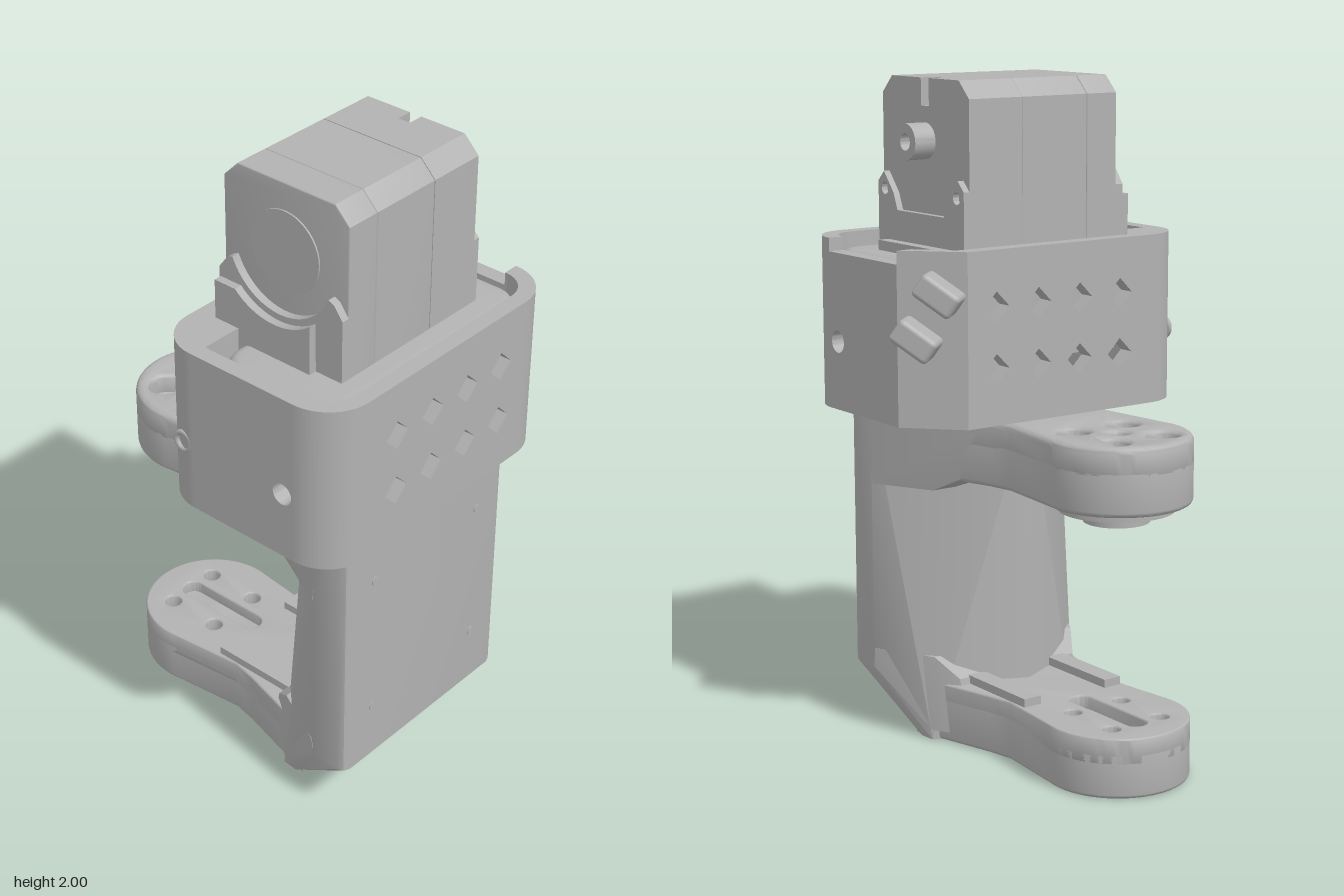
import * as THREE from 'three';
import { toCreasedNormals } from 'three/addons/utils/BufferGeometryUtils.js';
import { RoundedBoxGeometry } from 'three/addons/geometries/RoundedBoxGeometry.js';
import { ConvexGeometry } from 'three/addons/geometries/ConvexGeometry.js';

const grey = new THREE.MeshStandardMaterial({ color: 0xb2b2b2 });
grey.name = 'printed grey';

function add(group, name, geometry, x = 0, y = 0, z = 0) {
  const mesh = new THREE.Mesh(geometry, grey);
  mesh.name = name;
  mesh.position.set(x, y, z);
  group.add(mesh);
  return mesh;
}

const poly = (pts) => new THREE.Shape(pts.map(([a, b]) => new THREE.Vector2(a, b)));
const rect = (a0, b0, a1, b1) => poly([[a0, b0], [a1, b0], [a1, b1], [a0, b1]]);

function circle(a, b, r) {
  const p = new THREE.Path();
  p.absarc(a, b, r, 0, Math.PI * 2, false);
  return p;
}

function diamond(a, b, r) {
  return new THREE.Path([[a - r, b], [a, b - r], [a + r, b], [a, b + r]].map((p) => new THREE.Vector2(...p)));
}

function teardrop(a, b, r) {
  const p = new THREE.Path();
  p.absarc(a, b, r, Math.PI / 4, Math.PI * 1.75, false);
  p.lineTo(a + r * Math.SQRT2, b);
  p.closePath();
  return p;
}

// Extrusion between two depths; the bevel stays inside the outline
function extrude(shape, d0, d1, bevel = 0) {
  const geo = new THREE.ExtrudeGeometry(shape, {
    depth: d1 - d0 - 2 * bevel, curveSegments: 20, bevelEnabled: bevel > 0,
    bevelSize: bevel, bevelThickness: bevel, bevelOffset: -bevel, bevelSegments: 4,
  });
  return geo.translate(0, 0, d0 + bevel);
}
const crease = (geo) => toCreasedNormals(geo, 0.6);
// Shape drawn as (x, -z), raised along y
const upright = (shape, y0, y1, bevel) => crease(extrude(shape, y0, y1, bevel).rotateX(-Math.PI / 2));
// Shape drawn as (-z, y), run along x
const sideways = (shape, x0, x1, bevel) => crease(extrude(shape, x0, x1, bevel).rotateY(Math.PI / 2));

// Convex solid from mirrored levels: [y, [[halfWidth, z], ...]]
function mirroredHull(levels) {
  const pts = [];
  for (const [y, list] of levels) {
    for (const [w, z] of list) pts.push(new THREE.Vector3(w, y, z), new THREE.Vector3(-w, y, z));
  }
  return crease(new ConvexGeometry(pts));
}

function armPlan(rootHalf, rootZ) {
  const s = new THREE.Shape();
  s.moveTo(-rootHalf, -rootZ);
  s.lineTo(rootHalf, -rootZ);
  s.lineTo(0.2, 0);
  s.lineTo(0.185, 0.08);
  s.absarc(0, 0.355, 0.215, -0.2, Math.PI + 0.2, false);
  s.lineTo(-0.185, 0.08);
  s.lineTo(-0.2, 0);
  s.closePath();
  return s;
}
const boltSpots = [[-0.09, 0.265], [0.09, 0.265], [-0.09, 0.445], [0.09, 0.445]];

function createBracket() {
  const g = new THREE.Group();
  g.name = 'bracket';
  g.position.x = -0.025;

  // Column with a rounded front, a ridge at the back and a sloped foot
  const full = [[0.325, 0.51], [0.345, 0.501], [0.355, 0.48], [0.355, 0.39], [0.004, 0.07]];
  const foot = [[0.245, 0.28], [0.275, 0.25], [0.27, 0.2], [0.004, 0.07]];
  add(g, 'column', mirroredHull([[0, foot], [0.2, full], [1.02, full]]));
  add(g, 'lowerGusset', mirroredHull([
    [0.03, [[0.27, 0.2], [0.21, 0.1]]],
    [0.2, [[0.355, 0.39], [0.215, 0.13]]],
    [0.26, [[0.355, 0.385], [0.26, 0.2]]],
  ]));
  add(g, 'upperGusset', mirroredHull([
    [0.78, [[0.355, 0.385], [0.26, 0.2]]],
    [0.83, [[0.355, 0.39], [0.22, 0.1]]],
    [1.02, [[0.355, 0.39], [0.2, 0]]],
  ]));

  // Each arm has a drilled lower layer and an upper layer with bolt pockets
  const lowerBase = armPlan(0.275, 0.28);
  const lowerTop = armPlan(0.275, 0.28);
  const upperBase = armPlan(0.23, 0.1);
  const upperTop = armPlan(0.23, 0.1);
  for (const [a, b] of boltSpots) {
    lowerBase.holes.push(circle(a, b, 0.035));
    lowerTop.holes.push(circle(a, b, 0.026));
    upperBase.holes.push(circle(a, b, 0.026));
    upperTop.holes.push(teardrop(a, b, 0.045));
  }
  const slot = new THREE.Path();
  slot.absarc(0, 0.19, 0.035, Math.PI, Math.PI * 2, false);
  slot.absarc(0, 0.44, 0.035, 0, Math.PI, false);
  slot.closePath();
  lowerTop.holes.push(slot);
  upperTop.holes.push(circle(0, 0.355, 0.028));
  add(g, 'lowerArm', upright(lowerBase, 0, 0.14, 0.012));
  add(g, 'lowerArmTop', upright(lowerTop, 0.1, 0.18, 0.006));
  add(g, 'upperArm', upright(upperBase, 0.82, 0.96, 0.015));
  add(g, 'upperArmTop', upright(upperTop, 0.92, 1.02, 0.02));
  for (const side of [-1, 1]) {
    add(g, 'slotRail', new THREE.BoxGeometry(0.06, 0.035, 0.32), side * 0.15, 0.188, 0.01);
  }

  // Pivot boss under the upper arm
  const boss = new THREE.Shape();
  boss.absarc(0, 0.35, 0.17, 0, Math.PI * 2, false);
  for (const [a, b] of boltSpots) boss.holes.push(circle(a, b, 0.026));
  add(g, 'bossPlate', upright(boss, 0.797, 0.83));
  const collar = new THREE.Shape();
  collar.absarc(0, 0.35, 0.097, 0, Math.PI * 2, false);
  collar.holes.push(circle(0, 0.35, 0.055));
  add(g, 'bossRing', upright(collar, 0.762, 0.8));

  // Screw heads on the column front
  for (const x of [-0.23, 0.23]) {
    for (const y of [0.385, 0.845]) {
      add(g, 'frontScrew', new THREE.CylinderGeometry(0.014, 0.014, 0.006, 16).rotateX(Math.PI / 2), x, y, 0.51);
    }
  }
  return g;
}

function createSleeve() {
  const g = new THREE.Group();
  g.name = 'sleeve';
  const y0 = 1.02, y1 = 1.53, t = 0.05;

  // Front and back walls with diamond openings
  for (const [name, z] of [['frontWall', 0.52], ['backWall', -0.08]]) {
    const s = rect(-0.37, y0, 0.3, y1);
    for (let i = 0; i < 4; i++) {
      for (const y of [1.185, 1.365]) s.holes.push(diamond(-0.25 + i * 0.15, y, 0.045));
    }
    add(g, name, crease(extrude(s, z, z + t)));
  }

  // Side walls with screw holes; the right one is cut lower
  const left = rect(-0.43, y0, -0.06, y1);
  const right = rect(-0.43, y0, -0.07, 1.49);
  for (const s of [left, right]) s.holes.push(circle(-0.39, 1.225, 0.033));
  add(g, 'leftWall', sideways(left, -0.51, -0.46));
  add(g, 'rightWall', sideways(right, 0.39, 0.44));

  // Three round corners, one angled corner and a thickened inner corner
  for (const [x, v, turn] of [[-0.37, -0.43, 1], [0.3, -0.43, 1.5], [-0.37, -0.06, 0.5]]) {
    const s = new THREE.Shape();
    s.absarc(x, v, 0.14, turn * Math.PI, (turn + 0.5) * Math.PI, false);
    s.absarc(x, v, 0.09, (turn + 0.5) * Math.PI, turn * Math.PI, true);
    s.closePath();
    add(g, 'roundCorner', upright(s, y0, y1));
  }
  const angled = poly([[0.3, 0.08], [0.3, 0.03], [0.39, -0.07], [0.44, -0.07]]);
  add(g, 'angledCorner', upright(angled, y0, y1));
  const inner = poly([[-0.46, -0.07], [-0.32, -0.07], [-0.32, 0.04], [-0.4, 0.04], [-0.46, -0.01]]);
  add(g, 'innerCorner', upright(inner, y0, y1));
  add(g, 'cornerScrew', new THREE.TorusGeometry(0.028, 0.008, 8, 24).rotateY(Math.PI / 2), -0.503, 1.225, 0.02);

  // Two tilted clips on the angled corner
  for (const [x, y, z] of [[0.385, 1.415, -0.06], [0.428, 1.285, -0.008]]) {
    const clip = add(g, 'clip', new RoundedBoxGeometry(0.13, 0.075, 0.1, 2, 0.015), x, y, z);
    clip.rotation.set(0, -0.82 + Math.PI, -0.6, 'YXZ');
  }
  return g;
}

function createMotor() {
  const g = new THREE.Group();
  g.name = 'motor';

  // Cradle around the lower half
  const c = new THREE.Shape();
  const r = 0.09;
  c.absarc(0.39 - r, -0.08 - r, r, 0, Math.PI / 2, false);
  c.absarc(-0.44 + r, -0.08 - r, r, Math.PI / 2, Math.PI, false);
  c.absarc(-0.44 + r, -0.51 + r, r, Math.PI, Math.PI * 1.5, false);
  c.absarc(0.39 - r, -0.51 + r, r, Math.PI * 1.5, Math.PI * 2, false);
  c.closePath();
  add(g, 'cradle', upright(c, 1.19, 1.49, 0.035));

  // Case in slices with fine seams, the last one notched at the top
  const start = [[-0.42, 1.19], [0.02, 1.19], [0.02, 1.95], [-0.03, 2]];
  const end = [[-0.37, 2], [-0.42, 1.95]];
  const notch = [[-0.18, 2], [-0.18, 1.92], [-0.22, 1.92], [-0.22, 2]];
  const plain = poly([...start, ...end]);
  add(g, 'rearCase', sideways(plain, -0.28, -0.17, 0.004));
  add(g, 'middleCase', sideways(plain, -0.17, 0.065, 0.004));
  add(g, 'frontCase', sideways(plain, 0.065, 0.2));
  add(g, 'notchedCase', sideways(poly([...start, ...notch, ...end]), 0.2, 0.25));

  // Output shaft with a bore
  const ring = new THREE.Shape();
  ring.absarc(-0.2, 1.82, 0.053, 0, Math.PI * 2, false);
  ring.holes.push(circle(-0.2, 1.82, 0.025));
  add(g, 'shaft', sideways(ring, 0.24, 0.32));

  // Right mounting plate with two drilled ears
  const ears = poly([[-0.42, 1.3], [0.02, 1.3], [0.02, 1.69], [-0.01, 1.72], [-0.06, 1.66],
    [-0.08, 1.61], [-0.32, 1.61], [-0.34, 1.66], [-0.39, 1.72], [-0.42, 1.69]]);
  for (const a of [-0.385, -0.015]) ears.holes.push(circle(a, 1.67, 0.018));
  add(g, 'rightPlate', sideways(ears, 0.245, 0.27));
  add(g, 'connector', new THREE.BoxGeometry(0.06, 0.1, 0.33), 0.275, 1.47, 0.205);

  // Left mounting plates scooped around the idler
  const scoop = new THREE.Shape();
  scoop.moveTo(-0.42, 1.3);
  scoop.lineTo(0.02, 1.3);
  scoop.lineTo(0.02, 1.68);
  scoop.lineTo(-0.01, 1.72);
  scoop.absarc(-0.2, 1.8, 0.185, -0.4, -Math.PI + 0.4, true);
  scoop.lineTo(-0.39, 1.72);
  scoop.lineTo(-0.42, 1.68);
  scoop.closePath();
  add(g, 'leftPlate', sideways(scoop, -0.305, -0.275));
  const outer = new THREE.Shape();
  outer.moveTo(-0.33, 1.3);
  outer.lineTo(0.015, 1.3);
  outer.lineTo(0.015, 1.65);
  outer.lineTo(-0.06, 1.65);
  outer.absarc(-0.2, 1.8, 0.205, -0.82, -Math.PI + 0.9, true);
  outer.closePath();
  add(g, 'leftCover', sideways(outer, -0.33, -0.3));
  add(g, 'idlerDisc', new THREE.CylinderGeometry(0.12, 0.12, 0.008, 40).rotateZ(Math.PI / 2), -0.281, 1.8, 0.2);
  return g;
}

export function createModel() {
  const model = new THREE.Group();
  model.name = 'jointBracketWithMotor';
  model.add(createBracket(), createSleeve(), createMotor());
  return model;
}
